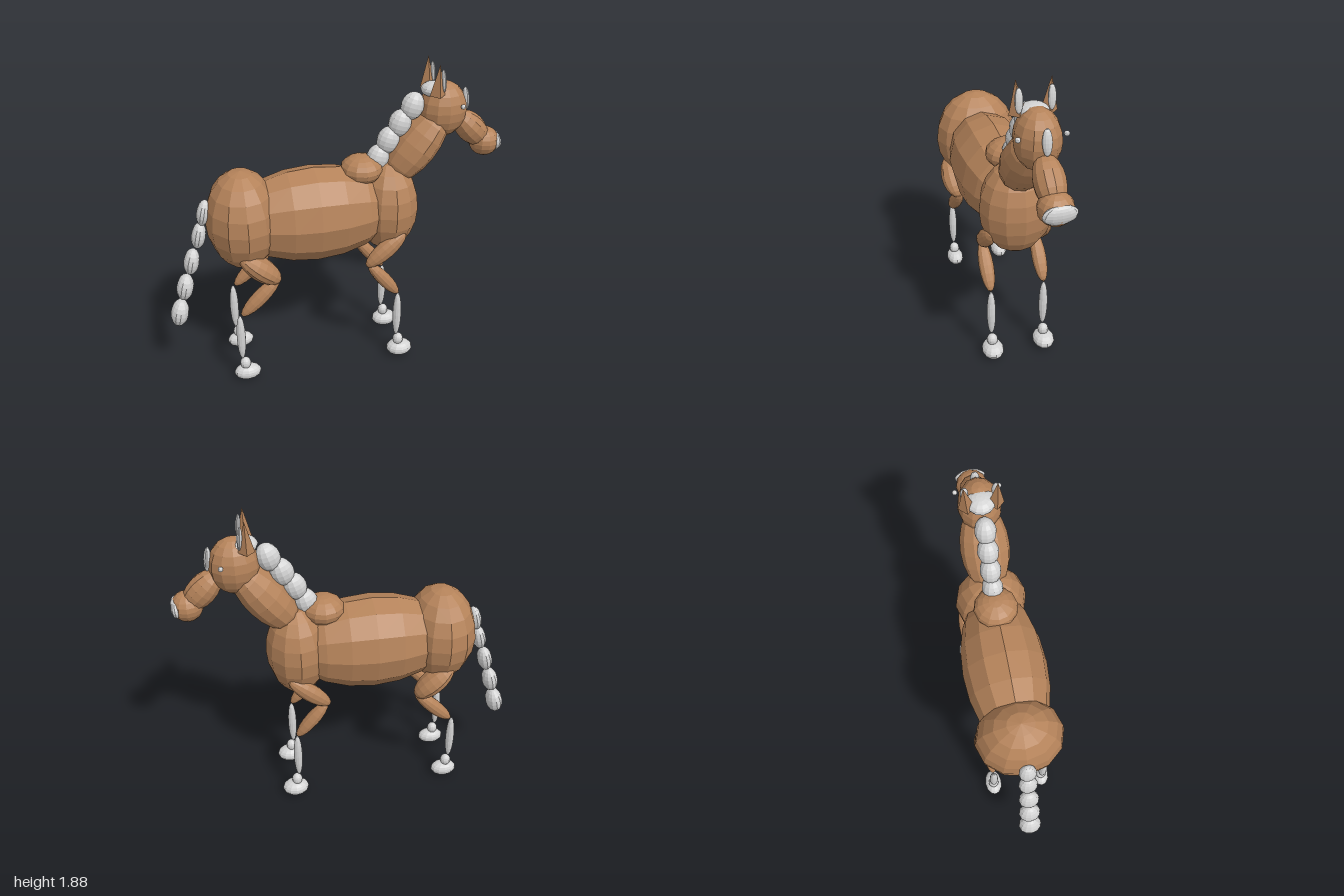
import * as THREE from 'three';

export function createModel() {
  const model = new THREE.Group();
  model.name = 'horse';
  const coat = new THREE.MeshStandardMaterial({ color: 0xb5835a, flatShading: true });
  coat.name = 'brownCoat';
  const pale = new THREE.MeshStandardMaterial({ color: 0xd3d3d3, flatShading: true });
  pale.name = 'paleGrey';

  // The horse is built along +x, then turned a little
  const horse = new THREE.Group();
  horse.name = 'body';
  horse.rotation.y = -0.1745;
  horse.position.z = 0.03;
  model.add(horse);

  // Faceted ellipsoid; tilt turns its upright axis about z
  const ball = new THREE.SphereGeometry(1, 12, 10);
  function blob(name, material, pos, radii, tilt = 0) {
    const mesh = new THREE.Mesh(ball, material);
    mesh.name = name;
    mesh.position.set(...pos);
    mesh.scale.set(...radii);
    mesh.rotation.z = tilt;
    horse.add(mesh);
    return mesh;
  }

  // Trunk
  blob('torso', coat, [-0.12, 1.02, 0], [0.29, 0.5, 0.25], Math.PI / 2);
  blob('rump', coat, [-0.54, 1.035, 0], [0.215, 0.3, 0.257]);
  blob('chest', coat, [0.325, 1.02, 0], [0.185, 0.29, 0.215]);
  blob('withers', coat, [0.165, 1.27, 0], [0.125, 0.085, 0.128]);

  // Neck and head
  blob('neck', coat, [0.487, 1.385, 0], [0.127, 0.265, 0.142], -0.66);
  blob('head', coat, [0.64, 1.595, 0], [0.14, 0.163, 0.122]);
  blob('muzzle', coat, [0.825, 1.46, 0], [0.083, 0.14, 0.082], 0.78);
  blob('snout', coat, [0.917, 1.37, 0], [0.09, 0.087, 0.093]);
  blob('noseTip', pale, [0.978, 1.37, 0], [0.03, 0.054, 0.09], -0.1);
  blob('blaze', pale, [0.778, 1.643, 0], [0.02, 0.07, 0.026], 0.12);
  blob('forelock', pale, [0.583, 1.715, 0], [0.08, 0.043, 0.08]);

  // Mane
  [[0.456, 1.626], [0.386, 1.53], [0.32, 1.433], [0.261, 1.33]].forEach(([x, y]) =>
    blob('mane', pale, [x, y, 0], [0.067, 0.083, 0.06], -0.3));

  // Tail, widening downwards
  [[-0.76, 1.1], [-0.798, 0.957], [-0.853, 0.79], [-0.906, 0.62], [-0.954, 0.444]].forEach(([x, y], i) =>
    blob('tail', pale, [x, y, 0], [0.038 + i * 0.004, 0.08 + i * 0.002, 0.05 + i * 0.005], -0.22));

  // Paired parts
  const cone = new THREE.ConeGeometry(0.045, 0.18, 4);
  for (const s of [1, -1]) {
    const side = s > 0 ? 'left' : 'right';

    const ear = new THREE.Mesh(cone, coat);
    ear.name = side + 'Ear';
    ear.position.set(0.57, 1.793, s * 0.085);
    ear.rotation.x = s * 0.06;
    horse.add(ear);
    blob(side + 'InnerEar', pale, [0.6, 1.785, s * 0.083], [0.014, 0.065, 0.022], 0.1);
    blob(side + 'Eye', pale, [0.712, 1.64, s * 0.122], [0.014, 0.014, 0.014]);

    // Front leg
    blob(side + 'FrontThigh', coat, [0.278, 0.8, s * 0.165], [0.055, 0.155, 0.048], -0.86);
    blob(side + 'FrontForearm', coat, [0.272, 0.593, s * 0.163], [0.042, 0.153, 0.045], 0.68);
    // Hind leg
    blob(side + 'HindThigh', coat, [-0.476, 0.786, s * 0.17], [0.068, 0.148, 0.085], 0.85);
    blob(side + 'HindGaskin', coat, [-0.484, 0.588, s * 0.165], [0.045, 0.165, 0.045], -0.785);

    // Shin, ankle and hoof
    for (const [end, x, width] of [['Front', 0.369, 0.066], ['Hind', -0.614, 0.055]]) {
      blob(side + end + 'Shin', pale, [x, 0.313, s * 0.163], [0.027, 0.16, 0.027]);
      blob(side + end + 'Ankle', pale, [x + 0.015, 0.115, s * 0.163], [0.033, 0.04, 0.033]);
      blob(side + end + 'Hoof', pale, [x + 0.026, 0.049, s * 0.163], [0.083, 0.049, width]);
    }
  }

  return model;
}
